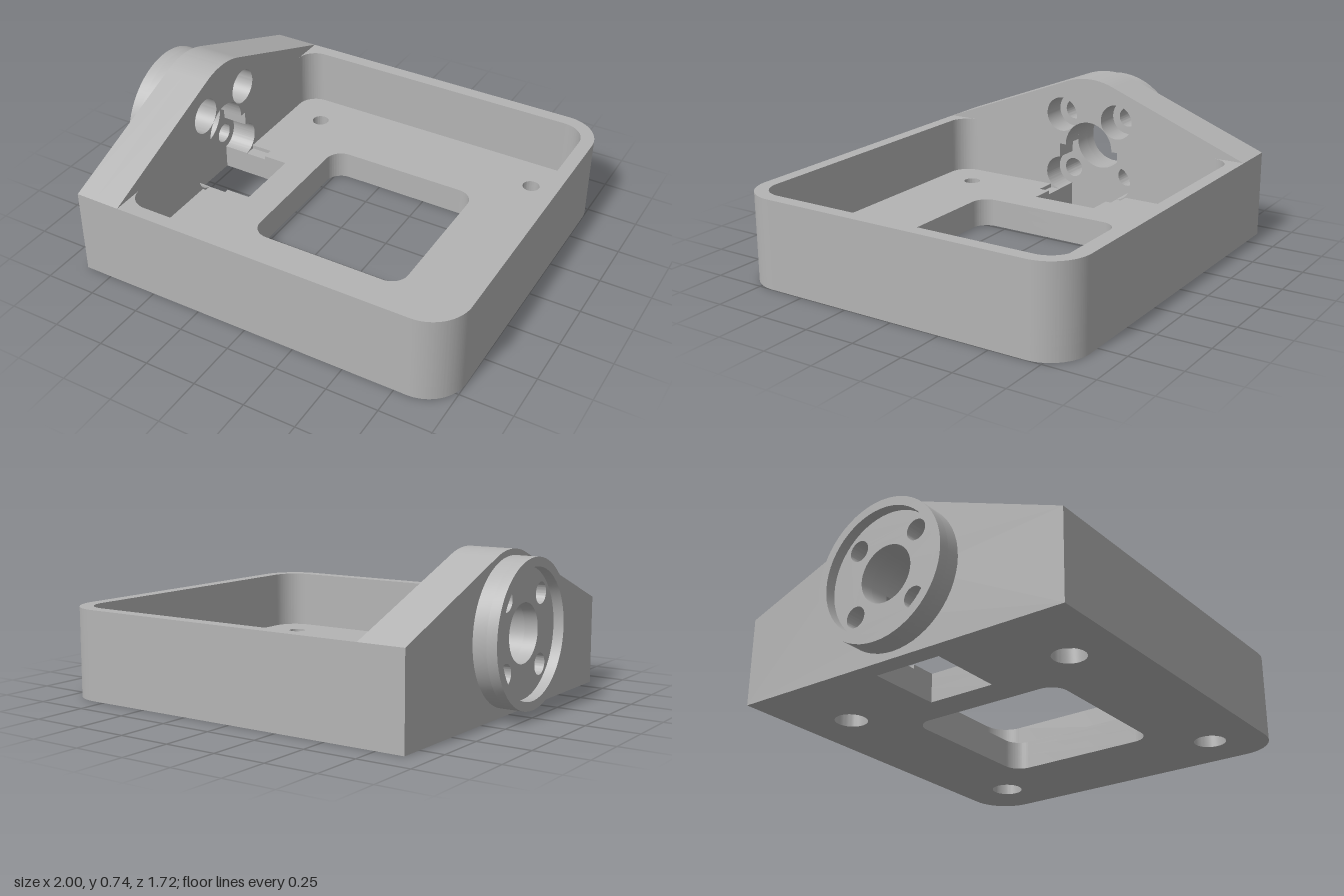
import * as THREE from 'three';
import { toCreasedNormals } from 'three/addons/utils/BufferGeometryUtils.js';

const PI = Math.PI;
const grey = new THREE.MeshStandardMaterial({ color: 0xb4b4b4 });
grey.name = 'grey';

const HALF = 0.862;          // half depth in z
const BACK = -0.885, FACE = -0.66, SEAT = -0.79;
const HUB = 0.37;            // height of the flange axis
const BORE = 0.136, BOLT = 0.16, COUNTER = 0.089;

function circle(x, y, r) {
  const p = new THREE.Path();
  p.absarc(x, y, r, 0, PI * 2, true);
  return p;
}

function extrude(shape, depth) {
  return new THREE.ExtrudeGeometry(shape, { depth, bevelEnabled: false, curveSegments: 28 });
}

function part(name, geometry) {
  const mesh = new THREE.Mesh(toCreasedNormals(geometry, 0.5), grey);
  mesh.name = name;
  return mesh;
}

// Shape drawn in (x, z), filling y0..y1
function slab(name, shape, y0, y1) {
  const g = extrude(shape, y1 - y0);
  g.rotateX(PI / 2);
  g.translate(0, y1, 0);
  return part(name, g);
}

// Shape drawn in (z, y), filling x0..x1
function upright(name, shape, x0, x1) {
  const g = extrude(shape, x1 - x0);
  g.rotateY(PI / 2);
  g.translate(x0, 0, 0);
  return part(name, g);
}

// Outer tray outline from the plate face, rounded at the +x corners
function trayOuter(s) {
  const r = 0.19;
  s.moveTo(FACE, -HALF);
  s.lineTo(1 - r, -HALF);
  s.absarc(1 - r, -HALF + r, r, -PI / 2, 0, false);
  s.lineTo(1, HALF - r);
  s.absarc(1 - r, HALF - r, r, 0, PI / 2, false);
  s.lineTo(FACE, HALF);
  return s;
}

// Floor layer; notch is a list of [x, half width] steps from the plate
function floorShape(notch, screwRadius) {
  const s = trayOuter(new THREE.Shape());
  for (const [x, w] of notch) { s.lineTo(s.currentPoint.x, w); s.lineTo(x, w); }
  for (let i = notch.length - 1; i >= 0; i--) {
    s.lineTo(notch[i][0], -notch[i][1]);
    s.lineTo(i > 0 ? notch[i - 1][0] : FACE, -notch[i][1]);
  }
  s.closePath();
  // central window
  const a = -0.265, b = 0.53, h = 0.398, r = 0.085;
  const w = new THREE.Path();
  w.absarc(b - r, h - r, r, 0, PI / 2, false);
  w.absarc(a + r, h - r, r, PI / 2, PI, false);
  w.absarc(a + r, -h + r, r, PI, PI * 1.5, false);
  w.absarc(b - r, -h + r, r, PI * 1.5, PI * 2, false);
  w.closePath();
  s.holes.push(w);
  for (const x of [-0.475, 0.74]) for (const z of [-0.607, 0.607]) s.holes.push(circle(x, z, screwRadius));
  return s;
}

// U-shaped wall with rounded inner corners
function wallShape() {
  const s = trayOuter(new THREE.Shape());
  const h = 0.797, r = 0.1, R = 0.125, e = 0.935;
  s.lineTo(FACE, h - r);
  s.absarc(FACE + r, h - r, r, PI, PI / 2, true);
  s.absarc(e - R, h - R, R, PI / 2, 0, true);
  s.absarc(e - R, -h + R, R, 0, -PI / 2, true);
  s.absarc(FACE + r, -h + r, r, -PI / 2, -PI, true);
  s.closePath();
  return s;
}

// Gabled plate outline with a rounded peak; its base may be notched
function plateShape(notched) {
  const s = new THREE.Shape();
  const shoulder = 0.427, r = 0.365;
  const t = Math.atan2(shoulder - HUB, HALF) + Math.acos(r / Math.hypot(HALF, shoulder - HUB));
  s.moveTo(-HALF, 0);
  if (notched) {
    const w = 0.17, y = 0.21;
    const a = Math.acos((w - BOLT) / COUNTER);
    s.lineTo(-w, 0);
    s.absarc(-BOLT, y, COUNTER, PI + a, PI - a, true);
    s.lineTo(-w, HUB);
    s.absarc(0, HUB, BORE, PI, 0, true);
    s.lineTo(w, HUB);
    s.absarc(BOLT, y, COUNTER, a, -a, true);
    s.lineTo(w, 0);
  }
  s.lineTo(HALF, 0);
  s.lineTo(HALF, shoulder);
  s.absarc(0, HUB, r, t, PI - t, false);
  s.lineTo(-HALF, shoulder);
  s.closePath();
  return s;
}

// Centre bore and four bolt holes
function addBoltPattern(s) {
  s.holes.push(circle(0, HUB, BORE));
  for (const z of [-BOLT, BOLT]) for (const y of [-BOLT, BOLT]) s.holes.push(circle(z, HUB + y, 0.05));
  return s;
}

function disc(r) {
  const s = new THREE.Shape();
  s.absarc(0, HUB, r, 0, PI * 2, false);
  return s;
}

export function createModel() {
  const model = new THREE.Group();
  model.name = 'mountingTray';

  // Floor: counterbored underside, screw holes, shallow relief beside the slot
  const slot = [[-0.425, 0.17]];
  model.add(slab('floorUnderside', floorShape(slot, 0.077), 0, 0.07));
  model.add(slab('floorMiddle', floorShape(slot, 0.042), 0.07, 0.12));
  model.add(slab('floorTop', floorShape([[-0.55, 0.225], [-0.425, 0.17]], 0.042), 0.12, 0.14));
  model.add(slab('trayWall', wallShape(), 0.14, 0.427));

  // Upright plate: thin bolted layer, then the recessed inner layer
  model.add(upright('plateOuterLayer', addBoltPattern(plateShape(false)), BACK, SEAT));
  const inner = plateShape(true);
  for (const z of [-BOLT, BOLT]) inner.holes.push(circle(z, HUB + BOLT, COUNTER));
  model.add(upright('plateInnerLayer', inner, SEAT, FACE));

  // Round flange with a raised lip
  model.add(upright('flangeDisc', addBoltPattern(disc(0.337)), -0.95, BACK));
  const lip = disc(0.337);
  lip.holes.push(circle(0, HUB, 0.295));
  model.add(upright('flangeLip', lip, -1, -0.95));

  return model;
}
